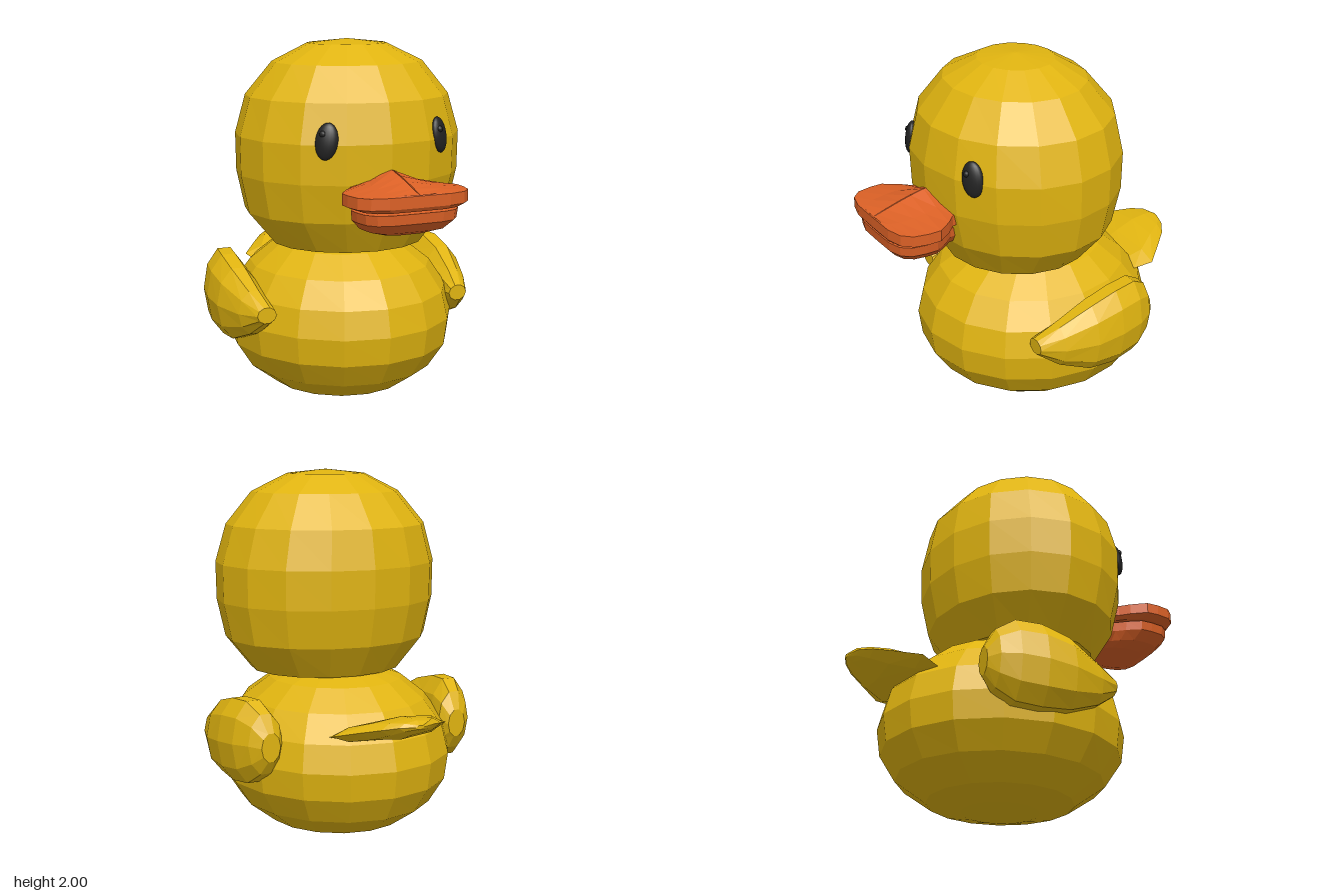
import * as THREE from 'three';

const yellow = new THREE.MeshStandardMaterial({ color: 0xe0b410 });
yellow.name = 'duckYellow';
const orange = new THREE.MeshStandardMaterial({ color: 0xdc6126 });
orange.name = 'beakOrange';
const black = new THREE.MeshStandardMaterial({ color: 0x222222 });
black.name = 'eyeBlack';

// Closed faceted skin through a list of rings of [x, y, z] points, capped at both ends
function loft(rings) {
  const n = rings[0].length;
  const tris = [];
  const quad = (a, b, c, d) => tris.push([a, b, c], [a, c, d]);
  for (let r = 0; r < rings.length - 1; r++) {
    for (let i = 0; i < n; i++) {
      const j = (i + 1) % n;
      quad(rings[r][i], rings[r][j], rings[r + 1][j], rings[r + 1][i]);
    }
  }
  const cap = (ring, flip) => {
    const mid = [0, 1, 2].map((k) => ring.reduce((s, p) => s + p[k], 0) / n);
    for (let i = 0; i < n; i++) {
      const j = (i + 1) % n;
      tris.push(flip ? [mid, ring[j], ring[i]] : [mid, ring[i], ring[j]]);
    }
  };
  cap(rings[0], true);
  cap(rings[rings.length - 1], false);
  // Turn the skin outward if its signed volume is negative
  const vec = (p) => new THREE.Vector3(...p);
  const volume = tris.reduce((s, [a, b, c]) => s + vec(a).dot(vec(b).cross(vec(c))), 0);
  if (volume < 0) tris.forEach((t) => t.reverse());
  const geometry = new THREE.BufferGeometry();
  geometry.setAttribute('position', new THREE.Float32BufferAttribute(tris.flat(2), 3));
  geometry.computeVertexNormals();
  return geometry;
}

// Points round an ellipse, mapped by a function of (cos, sin)
const around = (n, map) => Array.from({ length: n }, (_, i) => {
  const a = (i / n) * Math.PI * 2;
  return map(Math.cos(a), Math.sin(a));
});

// Upright round form from rows of [y, half width, front z, back z]
const roundForm = (rows) => loft(rows.map(([y, rx, zf, zb]) =>
  around(16, (c, s) => [rx * c, y, (zf + zb) / 2 + ((zf - zb) / 2) * s])));

// Form running along z from rows of [z, centre x, centre y, half width, half height]
const alongZ = (rows, n) => loft(rows.map(([z, cx, cy, rx, ry]) =>
  around(n, (c, s) => [cx + rx * c, cy + ry * s, z])));

export function createModel() {
  const duck = new THREE.Group();
  duck.name = 'duck';
  const add = (name, geometry, material, parent = duck) => {
    const mesh = new THREE.Mesh(geometry, material);
    mesh.name = name;
    parent.add(mesh);
    return mesh;
  };

  add('body', roundForm([
    [0, 0.2, 0.16, -0.27], [0.045, 0.38, 0.35, -0.46], [0.16, 0.53, 0.52, -0.63],
    [0.3, 0.62, 0.615, -0.715], [0.45, 0.64, 0.635, -0.735], [0.6, 0.605, 0.6, -0.695],
    [0.74, 0.51, 0.5, -0.58], [0.85, 0.37, 0.34, -0.44], [0.89, 0.25, 0.2, -0.31],
  ]), yellow);

  add('head', roundForm([
    [0.89, 0.43, 0.47, -0.33], [1.07, 0.58, 0.58, -0.45], [1.28, 0.625, 0.63, -0.495],
    [1.49, 0.628, 0.638, -0.5], [1.7, 0.567, 0.59, -0.46], [1.88, 0.42, 0.45, -0.31],
    [1.978, 0.22, 0.27, -0.145], [2, 0.01, 0.075, 0.055],
  ]), yellow);

  // Wings: blunt teardrops, narrow at the front
  const wing = alongZ([
    [0.32, 0.58, 0.56, 0.055, 0.045], [0.2, 0.61, 0.55, 0.09, 0.125],
    [0.02, 0.635, 0.56, 0.125, 0.21], [-0.14, 0.635, 0.575, 0.13, 0.24],
    [-0.28, 0.615, 0.585, 0.125, 0.235], [-0.375, 0.59, 0.59, 0.1, 0.17],
    [-0.425, 0.58, 0.58, 0.055, 0.08],
  ], 10);
  add('leftWing', wing, yellow);
  const mirrored = wing.clone().scale(-1, 1, 1);
  const p = mirrored.attributes.position;
  for (let i = 0; i < p.count; i += 3) { // restore outward corner order
    const [x, y, z] = [p.getX(i), p.getY(i), p.getZ(i)];
    p.setXYZ(i, p.getX(i + 2), p.getY(i + 2), p.getZ(i + 2));
    p.setXYZ(i + 2, x, y, z);
  }
  mirrored.computeVertexNormals();
  add('rightWing', mirrored, yellow);

  // Tail: flat upturned fan
  add('tail', alongZ([
    [-0.56, 0, 0.635, 0.31, 0.035], [-0.66, 0, 0.665, 0.35, 0.055],
    [-0.78, 0, 0.7, 0.255, 0.062], [-0.87, 0, 0.725, 0.18, 0.046],
    [-0.925, 0, 0.74, 0.105, 0.03], [-0.957, 0, 0.74, 0.02, 0.012],
  ], 8), yellow);

  // Beak outline seen from above, mirrored to a closed ring
  const half = [[0.2, 0.5], [0.22, 0.6], [0.27, 0.65], [0.327, 0.73], [0.327, 0.8],
    [0.31, 0.88], [0.26, 0.93], [0.17, 0.953]];
  const outline = [...half, [0, 0.955], ...half.map(([x, z]) => [-x, z]).reverse(), [0, 0.5]];
  const beakRing = (kx, kz, y) => outline.map(([x, z]) =>
    [x * kx, typeof y === 'function' ? y(z) : y, 0.5 + (z - 0.5) * kz]);
  const ridge = (z) => 1.36 - 0.085 * Math.max(0, (z - 0.62) / 0.335) ** 1.3;

  add('upperBeak', loft([
    beakRing(0.85, 0.97, 1.195), beakRing(1, 1, 1.215), beakRing(1, 1, 1.275),
    beakRing(0.5, 0.99, (z) => 1.28 + (ridge(z) - 1.275) * 0.3), beakRing(0.01, 0.985, ridge),
  ]), orange);
  add('lowerBeak', loft([
    beakRing(0.42, 0.72, 1.055), beakRing(0.66, 0.86, 1.08),
    beakRing(0.82, 0.955, 1.13), beakRing(0.84, 0.965, 1.183),
  ]), orange);

  // Eyes: upright ovals lying on the head, each with a small raised dot
  for (const side of [1, -1]) {
    const eye = new THREE.Group();
    eye.name = side > 0 ? 'leftEye' : 'rightEye';
    eye.position.set(side * 0.325, 1.51, 0.535);
    eye.rotation.set(-0.12, side * 0.6, side * 0.12, 'YXZ');
    add('eyeball', new THREE.SphereGeometry(1, 20, 14).scale(0.06, 0.097, 0.032), black, eye);
    add('eyeDot', new THREE.SphereGeometry(0.018, 10, 8), black, eye).position.set(-0.022, 0.035, 0.02);
    duck.add(eye);
  }
  return duck;
}
